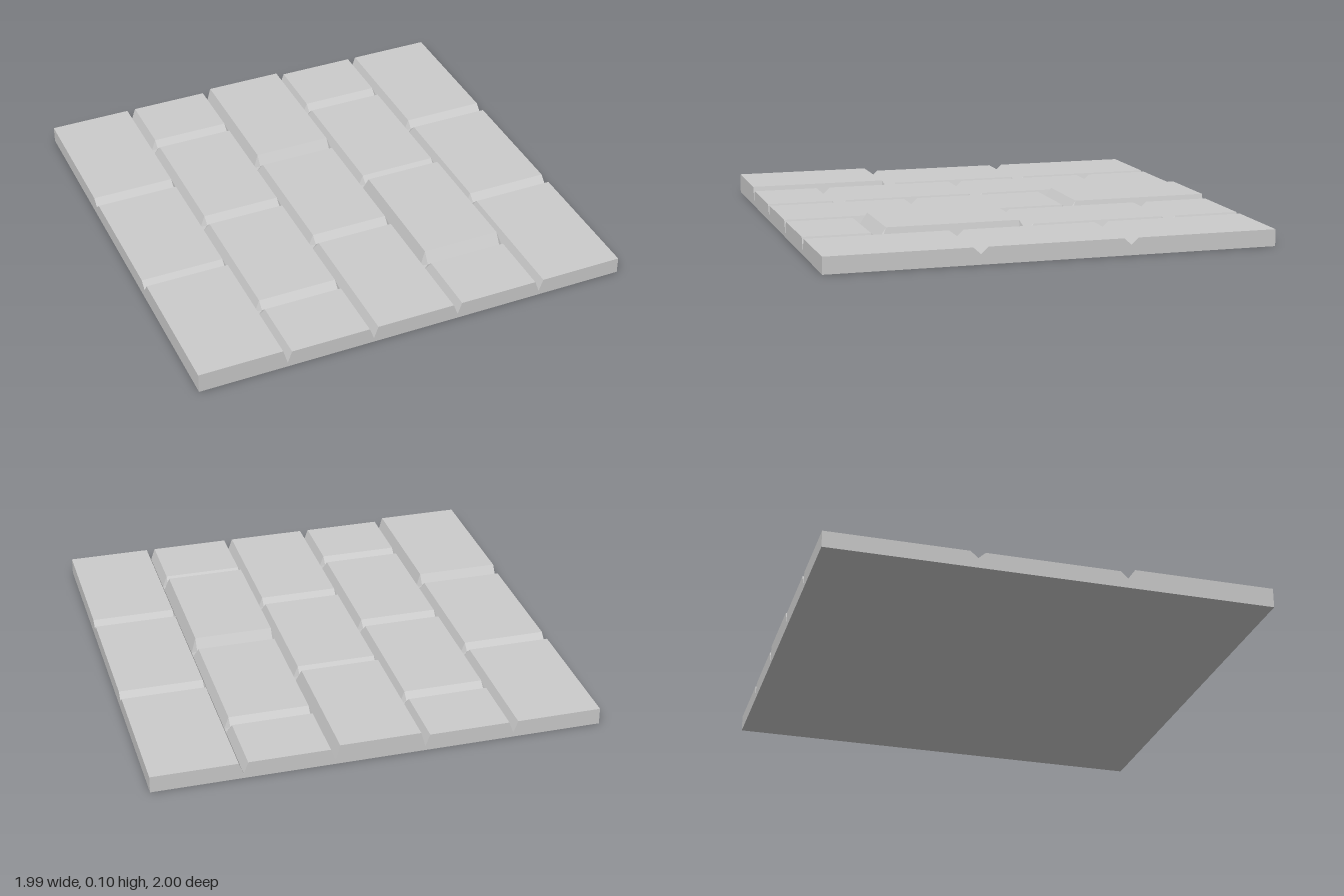
import * as THREE from 'three';

const HALF = 0.997;       // half width across the courses
const COURSE = HALF * 0.4; // spacing of the long grooves
const BEVEL = 0.02;       // half width of a long groove
const JOINT = 0.033;      // half width of a cross joint
const LOW = 0.075, GROOVE = 0.02, DIP = 0.045;

// Each course: joint positions from back to front, and tile heights between them
const outer = [-0.335, 0.33];
const inner = [-0.67, 0, 0.665];
const courses = [
  { joints: outer, tops: [LOW, LOW, 0.09] },
  { joints: inner, tops: [LOW, LOW, LOW, LOW] },
  { joints: outer, tops: [0.09, LOW, LOW] },
  { joints: inner, tops: [LOW, LOW, 0.096, LOW] },
  { joints: outer, tops: [LOW, LOW, LOW] },
];

// Height profile along z: flat tiles separated by V-shaped joints
function profile({ joints, tops }) {
  const rows = [[-1, tops[0]]];
  joints.forEach((z, i) => rows.push([z - JOINT, tops[i]], [z, DIP], [z + JOINT, tops[i + 1]]));
  rows.push([1, tops[tops.length - 1]]);
  return rows;
}

// One course lofted along z, bevelled towards its neighbours
function courseGeometry(course, index) {
  const first = index === 0, last = index === courses.length - 1;
  const x0 = -HALF + index * COURSE, x1 = x0 + COURSE;
  const xl = first ? x0 : x0 + BEVEL, xr = last ? x1 : x1 - BEVEL;
  const sections = profile(course).map(([z, top]) => [
    [x0, 0, z], [x0, first ? 0 : GROOVE, z], [xl, top, z],
    [xr, top, z], [x1, last ? 0 : GROOVE, z], [x1, 0, z],
  ]);
  const pos = [];
  const tri = (a, b, c) => pos.push(...a, ...b, ...c);

  for (let i = 0; i < sections.length - 1; i++) {
    const s = sections[i], t = sections[i + 1];
    for (let k = 0; k < 6; k++) {
      if (k === 0 || k === 4) continue; // hidden seams between courses
      const n = (k + 1) % 6;
      tri(s[k], t[k], t[n]);
      tri(s[k], t[n], s[n]);
    }
  }
  // End faces
  const back = sections[0], front = sections[sections.length - 1];
  for (let k = first ? 2 : 1; k < (last ? 4 : 5); k++) {
    tri(back[0], back[k], back[k + 1]);
    tri(front[0], front[k + 1], front[k]);
  }
  const geo = new THREE.BufferGeometry();
  geo.setAttribute('position', new THREE.Float32BufferAttribute(pos, 3));
  geo.computeVertexNormals();
  return geo;
}

export function createModel() {
  const group = new THREE.Group();
  group.name = 'pavingSlab';
  const material = new THREE.MeshStandardMaterial({ color: 0xcccccc, flatShading: true });
  courses.forEach((course, i) => {
    const mesh = new THREE.Mesh(courseGeometry(course, i), material);
    mesh.name = `tileCourse${i + 1}`;
    group.add(mesh);
  });
  return group;
}
